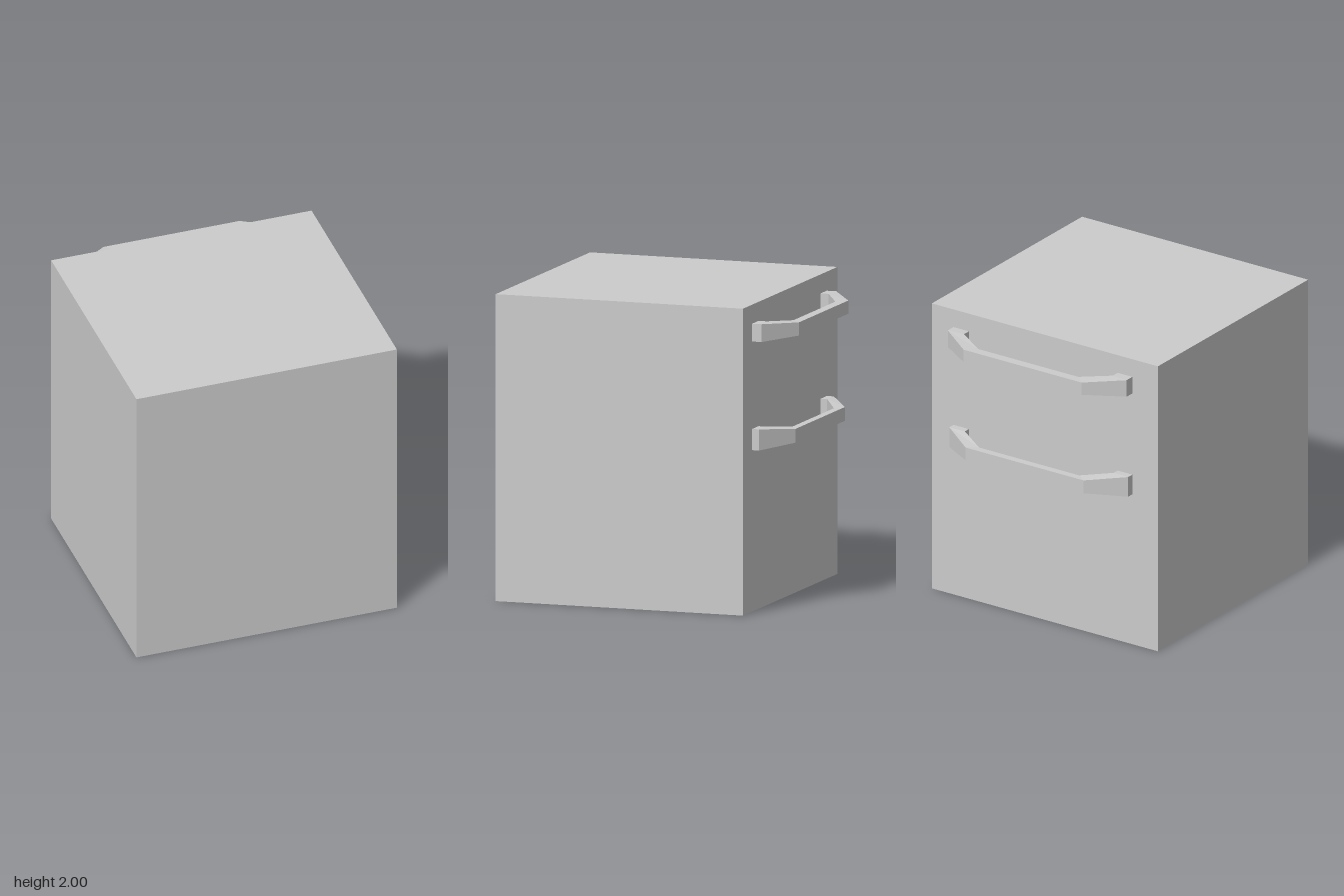
import * as THREE from 'three';

const material = new THREE.MeshStandardMaterial({ color: 0xcccccc, flatShading: true });
const BACK = -0.73;

// Faceted pull handle: four-cornered cross-sections swept from foot to foot
function createHandle({ name, y, footHalf, barHalf, knee, innerKnee, tip, innerTip }) {
  // each section: outer x, outer z, inner x, inner z, half height
  const sections = [
    [-0.685, BACK, -0.57, BACK, footHalf],
    [-0.685, knee, -0.57, innerKnee, footHalf],
    [-0.45, tip, -0.38, innerTip, barHalf],
    [0.475, tip, 0.405, innerTip, barHalf],
    [0.715, knee, 0.595, innerKnee, footHalf],
    [0.715, BACK, 0.595, BACK, footHalf],
  ];
  const rings = sections.map(([ox, oz, ix, iz, h]) => [
    [ox, y + h, oz], [ox, y - h, oz], [ix, y - h, iz], [ix, y + h, iz],
  ]);
  const positions = [];
  for (let i = 0; i < rings.length - 1; i++) {
    for (let j = 0; j < 4; j++) {
      const k = (j + 1) % 4;
      const a = rings[i][j], b = rings[i + 1][j], c = rings[i + 1][k], d = rings[i][k];
      positions.push(...a, ...b, ...c, ...a, ...c, ...d);
    }
  }
  const geometry = new THREE.BufferGeometry();
  geometry.setAttribute('position', new THREE.Float32BufferAttribute(positions, 3));
  geometry.computeVertexNormals();
  const handle = new THREE.Mesh(geometry, material);
  handle.name = name;
  return handle;
}

export function createModel() {
  const model = new THREE.Group();
  model.name = 'cabinet';

  // Plain cabinet block
  const front = 0.963;
  const body = new THREE.Mesh(new THREE.BoxGeometry(1.77, 2, front - BACK), material);
  body.name = 'cabinetBody';
  body.position.set(0, 1, (front + BACK) / 2);
  model.add(body);

  // Two handles on the back; the lower one is taller and shallower
  model.add(
    createHandle({
      name: 'upperHandle', y: 1.818, footHalf: 0.058, barHalf: 0.043,
      knee: -0.795, innerKnee: -0.785, tip: -0.963, innerTip: -0.9,
    }),
    createHandle({
      name: 'lowerHandle', y: 1.121, footHalf: 0.069, barHalf: 0.045,
      knee: -0.778, innerKnee: -0.775, tip: -0.94, innerTip: -0.89,
    }),
  );
  return model;
}
